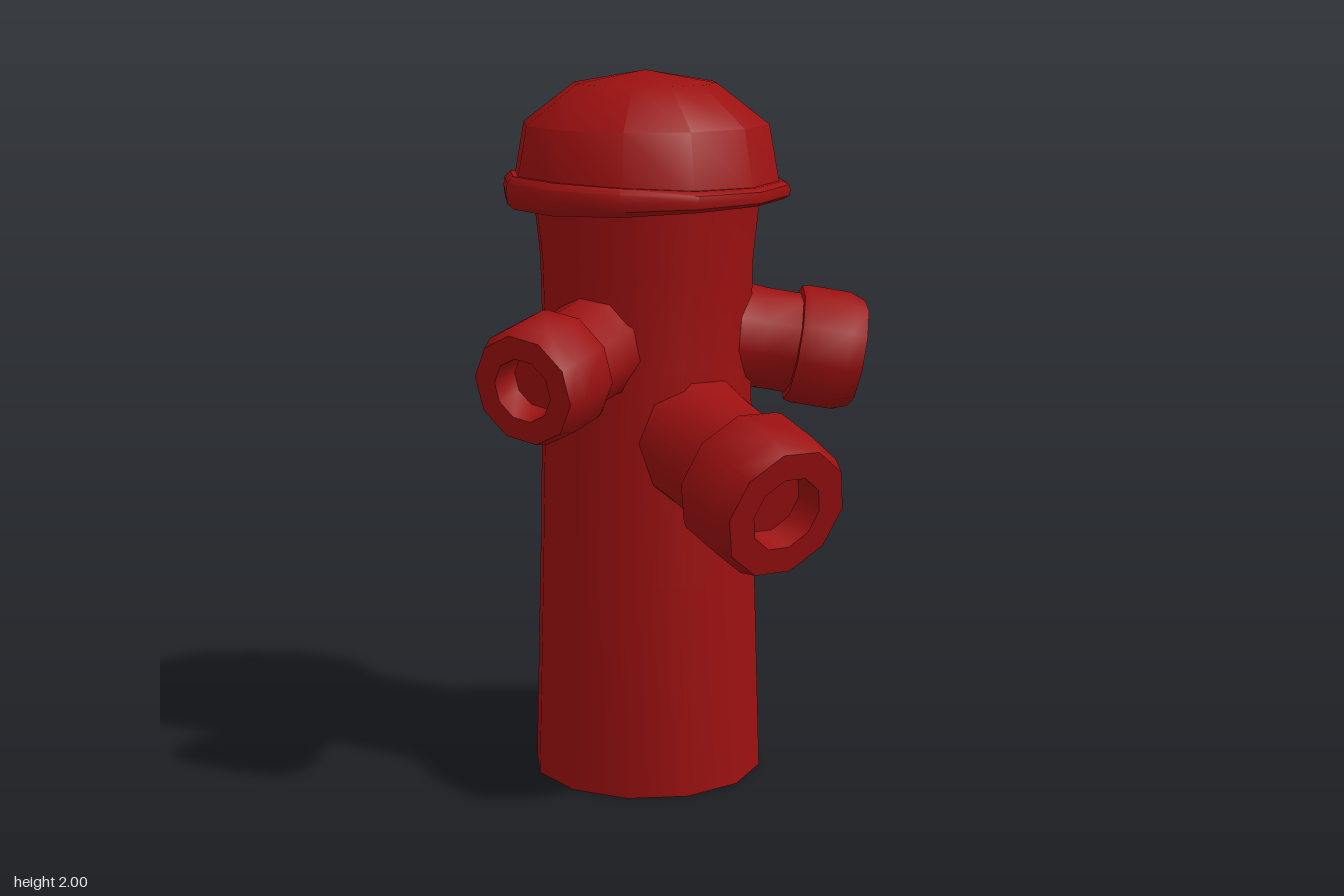
import * as THREE from 'three';
import { toCreasedNormals } from 'three/addons/utils/BufferGeometryUtils.js';

const red = new THREE.MeshStandardMaterial({ color: 0x9c1010 });
const CX = -0.015, CZ = -0.16; // axis of the barrel

// Lathe turned around y from [radius, height] pairs, smooth except at sharp edges
function turned(name, profile, sides, start = 0, deform) {
  const points = profile.map(([r, y]) => new THREE.Vector2(r, y));
  const geometry = new THREE.LatheGeometry(points, sides, start);
  if (deform) deform(geometry.attributes.position);
  const mesh = new THREE.Mesh(toCreasedNormals(geometry, 0.75), red);
  mesh.name = name;
  return mesh;
}

// Pipe with a wider hollow cap; "at" is the centre of the cap's inner end
function outlet(name, at, direction, { pipe, cap, hole, length, root }) {
  const mesh = turned(name, [
    [pipe * 1.08, -root], [pipe, -root * 0.45], [pipe, 0],
    [cap * 0.97, 0], [cap, 0.02], [cap, length * 0.75], [cap * 0.9, length],
    [hole, length], [hole * 0.9, length - 0.08], [0, length - 0.08],
  ], 10, Math.PI / 10);
  mesh.position.set(...at);
  mesh.quaternion.setFromUnitVectors(
    new THREE.Vector3(0, 1, 0), new THREE.Vector3(...direction).normalize());
  return mesh;
}

export function createModel() {
  const model = new THREE.Group();
  model.name = 'fireHydrant';
  const start = THREE.MathUtils.degToRad(20);

  // Barrel, rim and domed lid share the same twelve-sided axis
  const column = new THREE.Group();
  column.name = 'column';
  column.position.set(CX, 0, CZ);
  column.add(turned('barrel', [
    [0, 0], [0.33, 0], [0.312, 0.6], [0.297, 1.2], [0.302, 1.48], [0.322, 1.67],
  ], 12, start));
  column.add(turned('rim', [
    [0.3, 1.655], [0.385, 1.65], [0.402, 1.66], [0.405, 1.675],
    [0.402, 1.69], [0.385, 1.7], [0.35, 1.7],
  ], 12, start, (p) => {
    // The rim grows thicker towards the right
    for (let i = 0; i < p.count; i++) {
      const grow = 1 + 0.85 * Math.max(0, -p.getX(i) / 0.4);
      p.setY(i, 1.675 + (p.getY(i) - 1.675) * grow);
    }
  }));
  column.add(turned('lid', [
    [0.377, 1.68], [0.345, 1.855], [0.2, 1.965], [0, 2],
  ], 12, start));
  model.add(column);

  // Two side outlets, angled forward and slightly down
  for (const side of [1, -1]) {
    model.add(outlet(
      side > 0 ? 'leftOutlet' : 'rightOutlet',
      [CX + side * 0.372, 1.232, CZ + 0.188],
      [side * 0.89, -0.18, 0.46],
      { pipe: 0.142, cap: 0.168, hole: 0.088, length: 0.185, root: 0.22 }));
  }

  // Large front outlet
  model.add(outlet('frontOutlet', [0.015, 0.935, 0.3], [0.05, -0.28, 0.96],
    { pipe: 0.175, cap: 0.208, hole: 0.108, length: 0.21, root: 0.28 }));

  return model;
}
